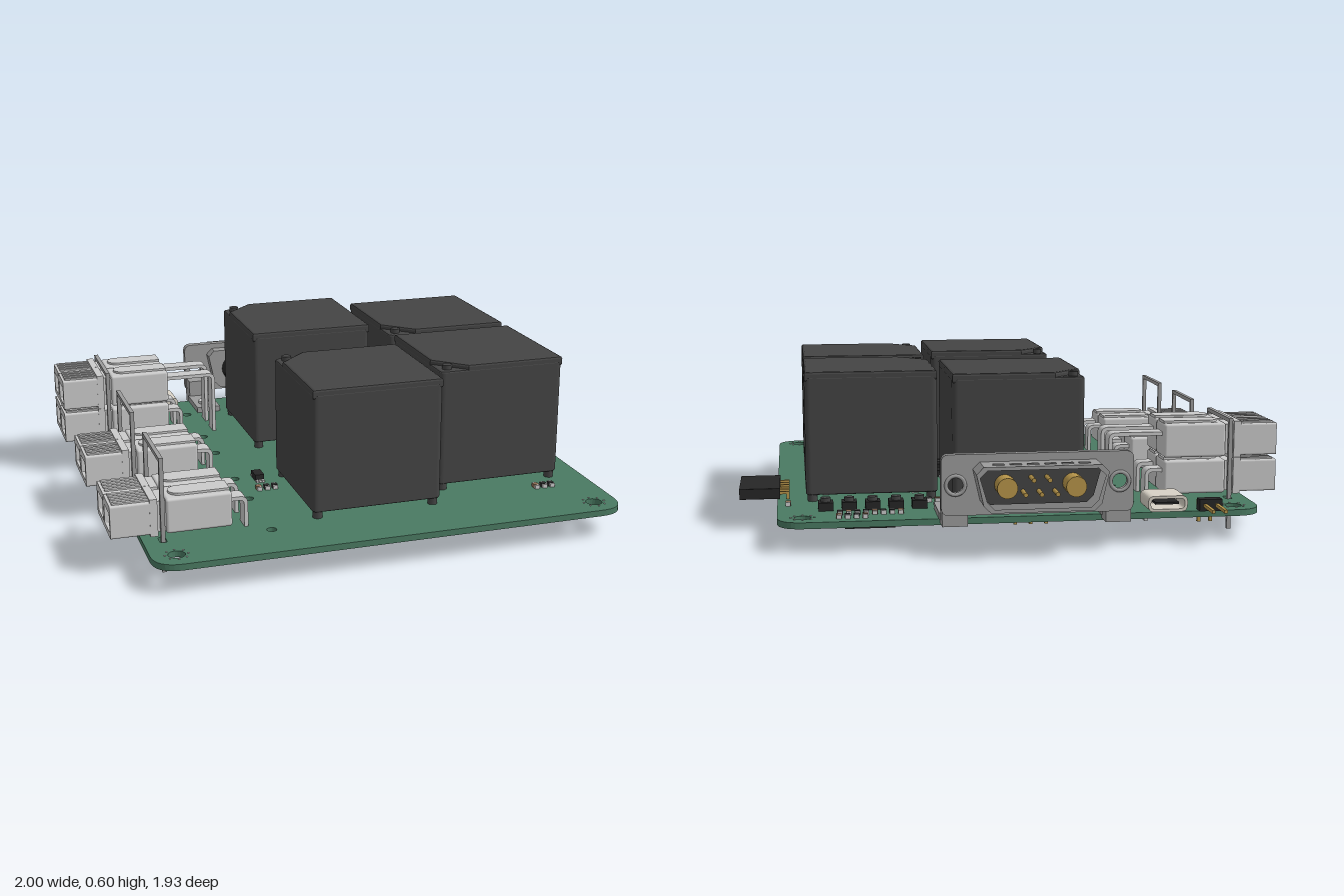
import * as THREE from 'three';
import { RoundedBoxGeometry } from 'three/addons/geometries/RoundedBoxGeometry.js';

const GREEN = 0x4a7a62, BLACK = 0x262626, DARK = 0x444444, GREY = 0xcccccc, METAL = 0x9c9c9c, GOLD = 0xb8964a, CREAM = 0xd8d2c6;
const TOP = 0.115, BOTTOM = 0.092;
const mats = {};
const mat = (c) => (mats[c] ??= new THREE.MeshStandardMaterial({ color: c }));

function add(parent, name, geo, color, x = 0, y = 0, z = 0) {
  const m = new THREE.Mesh(geo, mat(color));
  m.name = name;
  m.position.set(x, y, z);
  parent.add(m);
  return m;
}
// Box given by its limits on each axis
const box = (p, name, color, x0, x1, y0, y1, z0, z1) =>
  add(p, name, new THREE.BoxGeometry(x1 - x0, y1 - y0, z1 - z0), color, (x0 + x1) / 2, (y0 + y1) / 2, (z0 + z1) / 2);

function group(parent, name) {
  const g = new THREE.Group();
  g.name = name;
  parent.add(g);
  return g;
}
function roundRect(w, h, r, cx = 0, cy = 0, S = THREE.Shape) {
  const s = new S(), a = cx - w / 2, b = cy - h / 2;
  s.moveTo(a + r, b);
  s.lineTo(a + w - r, b).quadraticCurveTo(a + w, b, a + w, b + r);
  s.lineTo(a + w, b + h - r).quadraticCurveTo(a + w, b + h, a + w - r, b + h);
  s.lineTo(a + r, b + h).quadraticCurveTo(a, b + h, a, b + h - r);
  s.lineTo(a, b + r).quadraticCurveTo(a, b, a + r, b);
  return s;
}
const circle = (x, y, r) => new THREE.Path().absarc(x, y, r, 0, Math.PI * 2, true);
const extrude = (s, depth, o = {}) => new THREE.ExtrudeGeometry(s, { depth, bevelEnabled: false, curveSegments: 10, ...o });
// Plan shape drawn in (x, z), extruded downwards
const slab = (s, depth, o) => extrude(s, depth, o).rotateX(Math.PI / 2);
const rod = (r, len, n = 16) => new THREE.CylinderGeometry(r, r, len, n);

function board(p) {
  const s = roundRect(1.75, 1.74, 0.1, -0.015, 0.09);
  for (const x of [-0.8, 0.77]) for (const z of [-0.7, 0.875]) s.holes.push(circle(x, z, 0.03));
  for (const c of [-0.435, 0.085, 0.61]) {
    for (const d of [-0.155, 0.155]) s.holes.push(circle(-0.435, c + d, 0.018));
    for (const d of [-0.128, 0.128]) s.holes.push(roundRect(0.026, 0.05, 0.012, -0.82, c + d, THREE.Path));
  }
  add(p, 'circuitBoard', slab(s, TOP - BOTTOM), GREEN, 0, TOP, 0);
  // Small plated dots around the mounting holes
  for (const x of [-0.8, 0.77]) for (const z of [-0.7, 0.875]) for (let i = 0; i < 8; i++) {
    const a = i * Math.PI / 4;
    add(p, 'holeVia', rod(0.004, 0.027, 8), GREY, x + 0.041 * Math.cos(a), (TOP + BOTTOM) / 2, z + 0.041 * Math.sin(a));
  }
}

// Square relay with a cut marker corner; cz = side of that corner in z
function relay(p, x, z, cz) {
  const g = group(p, 'relay'), h = 0.246, c = 0.105, b = 0.01, k = h - b;
  g.position.set(x, 0, z);
  add(g, 'relayBody', slab(roundRect(2 * k, 2 * k, 0.012), 0.43,
    { bevelEnabled: true, bevelSize: b, bevelThickness: 0.006, bevelSegments: 2 }), DARK, 0, 0.576, 0);
  const s = new THREE.Shape([[-k + c, -k], [k, -k], [k, k], [-k, k], [-k, -k + c]].map(([u, v]) => new THREE.Vector2(u, v * -cz)));
  add(g, 'relayLid', slab(s, 0.02, { bevelEnabled: true, bevelSize: b - 0.001, bevelThickness: 0.008, bevelSegments: 2 }), DARK, 0, 0.592, 0);
  add(g, 'relayMarker', rod(0.018, 0.018, 20), DARK, -h + 0.038, 0.59, cz * (h - 0.038));
  for (const i of [-1, 1]) for (const j of [-1, 1]) {
    add(g, 'relayFoot', rod(0.018, 0.03, 12), DARK, i * 0.222, 0.126, j * 0.222);
    box(g, 'relayTail', GREY, i * 0.17 - 0.012, i * 0.17 + 0.012, 0.065, 0.14, j * 0.12 - 0.006, j * 0.12 + 0.006);
  }
}

// One power contact housing with its bent blade
function housing(p, y, z, reach) {
  const g = group(p, 'powerHousing');
  g.position.set(0, y, z);
  const s = roundRect(0.132, 0.12, 0.008);
  s.holes.push(roundRect(0.098, 0.07, 0.004, 0, -0.005, THREE.Path));
  add(g, 'matingSleeve', extrude(s, 0.14).rotateY(Math.PI / 2), GREY, -1, 0, 0);
  box(g, 'matingTongue', GREY, -0.985, -0.86, -0.02, 0.0, -0.03, 0.03);
  for (const d of [-0.045, -0.015, 0.015, 0.045]) box(g, 'sleeveRib', GREY, -0.99, -0.86, 0.055, 0.066, d - 0.007, d + 0.007);
  box(g, 'housingCollar', GREY, -0.862, -0.835, -0.067, 0.07, -0.067, 0.067);
  box(g, 'housingNeck', GREY, -0.84, -0.795, -0.055, 0.058, -0.056, 0.056);
  add(g, 'housingBody', new RoundedBoxGeometry(0.235, 0.128, 0.132, 2, 0.01), GREY, -0.687, 0, 0);
  // Raised pad with a round front end
  const pad = new THREE.Shape();
  pad.moveTo(-0.573, -0.04);
  pad.lineTo(-0.74, -0.04);
  pad.absarc(-0.745, 0, 0.04, -Math.PI / 2, Math.PI / 2, true);
  pad.lineTo(-0.573, 0.04);
  add(g, 'housingPad', slab(pad, 0.012), GREY, 0, 0.072, 0);
  // Blade leaves the back and bends down through the board
  const t = 0.014, top = 0.03, low = 0.03 - y, R = 0.03, b = new THREE.Shape();
  b.moveTo(-0.58, top);
  b.lineTo(reach - R, top).quadraticCurveTo(reach, top, reach, top - R);
  b.lineTo(reach, low).lineTo(reach - t, low).lineTo(reach - t, top - R);
  b.quadraticCurveTo(reach - t, top - t, reach - R, top - t).lineTo(-0.58, top - t);
  add(g, 'contactBlade', extrude(b, 0.064), GREY, 0, 0, -0.032);
}

function powerConnector(p, z, tiers) {
  const g = group(p, 'powerConnector');
  for (let t = 0; t < tiers; t++) for (const d of [-0.068, 0.068]) housing(g, 0.2 + t * 0.138, z + d, t ? -0.365 : -0.505);
  // Retaining staple
  for (const d of [-0.138, 0.138]) box(g, 'stapleLeg', METAL, -0.827, -0.812, 0, 0.42, z + d - 0.007, z + d + 0.007);
  box(g, 'stapleBridge', METAL, -0.827, -0.812, 0.405, 0.42, z - 0.145, z + 0.145);
}

function dShape(w, h, S = THREE.Shape) {
  const pts = [[-w / 2, h / 2 - 0.025], [-w / 2 + 0.025, h / 2], [w / 2 - 0.025, h / 2], [w / 2, h / 2 - 0.025],
    [w / 2 - 0.025, -h / 2 + 0.025], [w / 2 - 0.05, -h / 2], [-w / 2 + 0.05, -h / 2], [-w / 2 + 0.025, -h / 2 + 0.025]];
  return new S(pts.map(([x, y]) => new THREE.Vector2(x, y)));
}
function dConnector(p) {
  const g = group(p, 'rearConnector');
  g.position.set(-0.045, 0.25, 0);
  const flange = roundRect(0.68, 0.215, 0.03);
  for (const x of [-0.29, 0.29]) flange.holes.push(circle(x, 0, 0.03));
  add(g, 'flange', extrude(flange, 0.03), METAL, 0, 0, -0.865);
  add(g, 'flangeBack', extrude(dShape(0.48, 0.17), 0.05), METAL, 0, 0, -0.838);
  const shell = dShape(0.46, 0.16);
  shell.holes.push(dShape(0.435, 0.135, THREE.Path));
  add(g, 'shell', extrude(shell, 0.11), METAL, 0, 0, -0.97);
  add(g, 'insulator', extrude(dShape(0.44, 0.14), 0.02), DARK, 0, 0, -0.875);
  for (let i = 0; i < 6; i++) box(g, 'shellDimple', METAL, -0.17 + i * 0.06, -0.13 + i * 0.06, 0.075, 0.084, -0.94, -0.925);
  for (const x of [-0.12, 0.12]) {
    add(g, 'powerPin', rod(0.036, 0.075, 20).rotateX(Math.PI / 2), GOLD, x, 0, -0.91);
    add(g, 'pinCollar', rod(0.06, 0.06, 24).rotateX(Math.PI / 2), BLACK, x, 0, -0.77);
    const path = new THREE.CurvePath();
    const V = (y, z) => new THREE.Vector3(x, y, z);
    path.add(new THREE.LineCurve3(V(0, -0.79), V(0, -0.74)));
    path.add(new THREE.QuadraticBezierCurve3(V(0, -0.74), V(0, -0.645), V(-0.09, -0.645)));
    path.add(new THREE.LineCurve3(V(-0.09, -0.645), V(-0.18, -0.645)));
    add(g, 'elbowPin', new THREE.TubeGeometry(path, 24, 0.03, 14), GOLD);
  }
  for (let i = 0; i < 5; i++) {
    const x = -0.056 + i * 0.028, y = i % 2 ? 0.025 : -0.025, z = i % 2 ? -0.65 : -0.7;
    add(g, 'signalPin', rod(0.008, 0.07, 10).rotateX(Math.PI / 2), GOLD, x, y, -0.91);
    box(g, 'signalTail', GOLD, x - 0.006, x + 0.006, y - 0.006, y + 0.006, -0.79, z);
    box(g, 'signalLeg', GOLD, x - 0.006, x + 0.006, -0.18, y + 0.006, z - 0.012, z);
  }
  // Mounting brackets with screws
  for (const x of [-0.29, 0.29]) {
    box(g, 'bracketFoot', METAL, x - 0.05, x + 0.05, -0.135, -0.112, -0.79, -0.6);
    box(g, 'bracketBlock', METAL, x - 0.045, x + 0.045, -0.15, -0.045, -0.85, -0.775);
    add(g, 'bracketScrew', rod(0.03, 0.012, 20), GREY, x, -0.106, -0.665);
    for (const r of [0, Math.PI / 2]) add(g, 'screwSlot', new THREE.BoxGeometry(0.034, 0.004, 0.008), BLACK, x, -0.1, -0.665).rotation.y = r + 0.78;
    add(g, 'jackNut', new THREE.TorusGeometry(0.033, 0.007, 8, 20), METAL, x, 0, -0.866);
  }
}

function smallTopParts(p) {
  // Two pin header, rear edge
  box(p, 'pinHeader', BLACK, -0.732, -0.648, TOP, 0.158, -0.79, -0.75);
  for (const x of [-0.712, -0.668]) {
    box(p, 'headerPin', GOLD, x - 0.006, x + 0.006, 0.13, 0.142, -0.9, -0.7);
    box(p, 'headerPinLeg', GOLD, x - 0.006, x + 0.006, 0.06, 0.142, -0.712, -0.7);
  }
  // Small plug socket
  const sock = roundRect(0.145, 0.058, 0.024);
  sock.holes.push(roundRect(0.125, 0.038, 0.017, 0, 0, THREE.Path));
  add(p, 'plugSocket', extrude(sock, 0.128), CREAM, -0.532, 0.145, -0.785);
  box(p, 'socketBack', CREAM, -0.595, -0.469, 0.122, 0.168, -0.672, -0.658);
  box(p, 'socketTongue', BLACK, -0.575, -0.489, 0.141, 0.149, -0.775, -0.665);
  // Side socket strip
  const strip = roundRect(0.265, 0.04, 0.002);
  for (let i = 0; i < 6; i++) {
    const z = -0.3625 + i * 0.044;
    strip.holes.push(roundRect(0.016, 0.016, 0.001, -(z + 0.2525), 0, THREE.Path));
    box(p, 'stripPin', GOLD, 0.815, 0.86, 0.134, 0.144, z - 0.006, z + 0.006);
    box(p, 'stripPinLeg', GOLD, 0.815, 0.826, 0.07, 0.144, z - 0.006, z + 0.006);
  }
  add(p, 'sideStrip', extrude(strip, 0.135).rotateY(Math.PI / 2), BLACK, 0.865, 0.14, -0.2525);
  box(p, 'sideStripBack', BLACK, 0.85, 0.866, 0.12, 0.16, -0.385, -0.12);
  // Row of push buttons
  for (let i = 0; i < 5; i++) {
    const x = 0.345 + i * 0.085;
    box(p, 'pushButton', BLACK, x - 0.027, x + 0.027, TOP, 0.145, -0.602, -0.54);
    add(p, 'buttonCap', rod(0.018, 0.02, 16), DARK, x, 0.15, -0.571);
  }
  for (const z of [0.015, 0.155]) chip(p, 0.175, z, 0.1, 0.075, 1);
  chip(p, -0.35, 0.268, 0.035, 0.06, 1);
  // Passive rows: x, z, count
  for (const [x, z, n] of [[0.42, -0.665, 8], [0.55, -0.72, 4], [-0.375, 0.375, 3], [0.27, -0.48, 2], [0.63, 0.675, 3], [0.7, -0.5, 1], [0.82, -0.48, 1], [-0.71, -0.7, 2]])
    for (let i = 0; i < n; i++) passive(p, x + i * 0.031, z, 1, i % 3);
}
// Chip with legs on two sides; up = 1 on top, -1 underneath
function chip(p, x, z, w, d, up) {
  const g = group(p, 'chip'), y0 = up > 0 ? TOP : BOTTOM;
  add(g, 'chipBody', new THREE.BoxGeometry(w, 0.024, d), BLACK, x, y0 + up * 0.016, z);
  const n = Math.max(3, Math.round(w / 0.028));
  for (let i = 0; i < n; i++)
    add(g, 'chipLegs', new THREE.BoxGeometry(0.009, 0.008, d + 0.028), GREY, x + ((i + 0.5) / n - 0.5) * w, y0 + up * 0.005, z);
}
function passive(p, x, z, up, kind) {
  const y = (up > 0 ? TOP : BOTTOM) + up * 0.007;
  add(p, 'passiveEnds', new THREE.BoxGeometry(0.018, 0.014, 0.036), GREY, x, y, z);
  add(p, 'passiveBody', new THREE.BoxGeometry(0.02, 0.016, 0.02), kind ? BLACK : 0x8a6a50, x, y, z);
}

function underside(p) {
  const chips = [[0.53, -0.59, 0.18, 0.17], [0.54, -0.28, 0.09, 0.07], [0.18, -0.54, 0.1, 0.08], [0.11, -0.13, 0.1, 0.08], [-0.62, -0.13, 0.09, 0.08],
    [0.03, 0.45, 0.1, 0.06], [-0.17, -0.36, 0.1, 0.08], [0.57, 0.15, 0.08, 0.06], [0.49, 0.46, 0.07, 0.05], [0.3, 0.1, 0.08, 0.06], [-0.3, 0.15, 0.08, 0.06], [-0.15, 0.05, 0.06, 0.05]];
  for (const c of chips) chip(p, ...c, -1);
  let seed = 7;
  const rnd = () => (seed = (seed * 16807) % 2147483647) / 2147483647;
  for (let i = 0; i < 110; i++) {
    const x = -0.42 + rnd() * 1.2, z = -0.55 + rnd() * 1.12;
    if (chips.some(([a, b, w, d]) => Math.abs(x - a) < w / 2 + 0.03 && Math.abs(z - b) < d / 2 + 0.04)) continue;
    passive(p, x, z, -1, i % 4);
  }
}

export function createModel() {
  const model = new THREE.Group();
  model.name = 'relayBoard';
  board(model);
  for (const [x, z, c] of [[-0.025, -0.315, -1], [0.508, -0.19, 1], [0.508, 0.355, 1], [-0.025, 0.482, -1]]) relay(model, x, z, c);
  for (const [z, t] of [[-0.445, 2], [0.085, 1], [0.61, 1]]) powerConnector(model, z, t);
  dConnector(model);
  smallTopParts(model);
  underside(model);
  return model;
}
